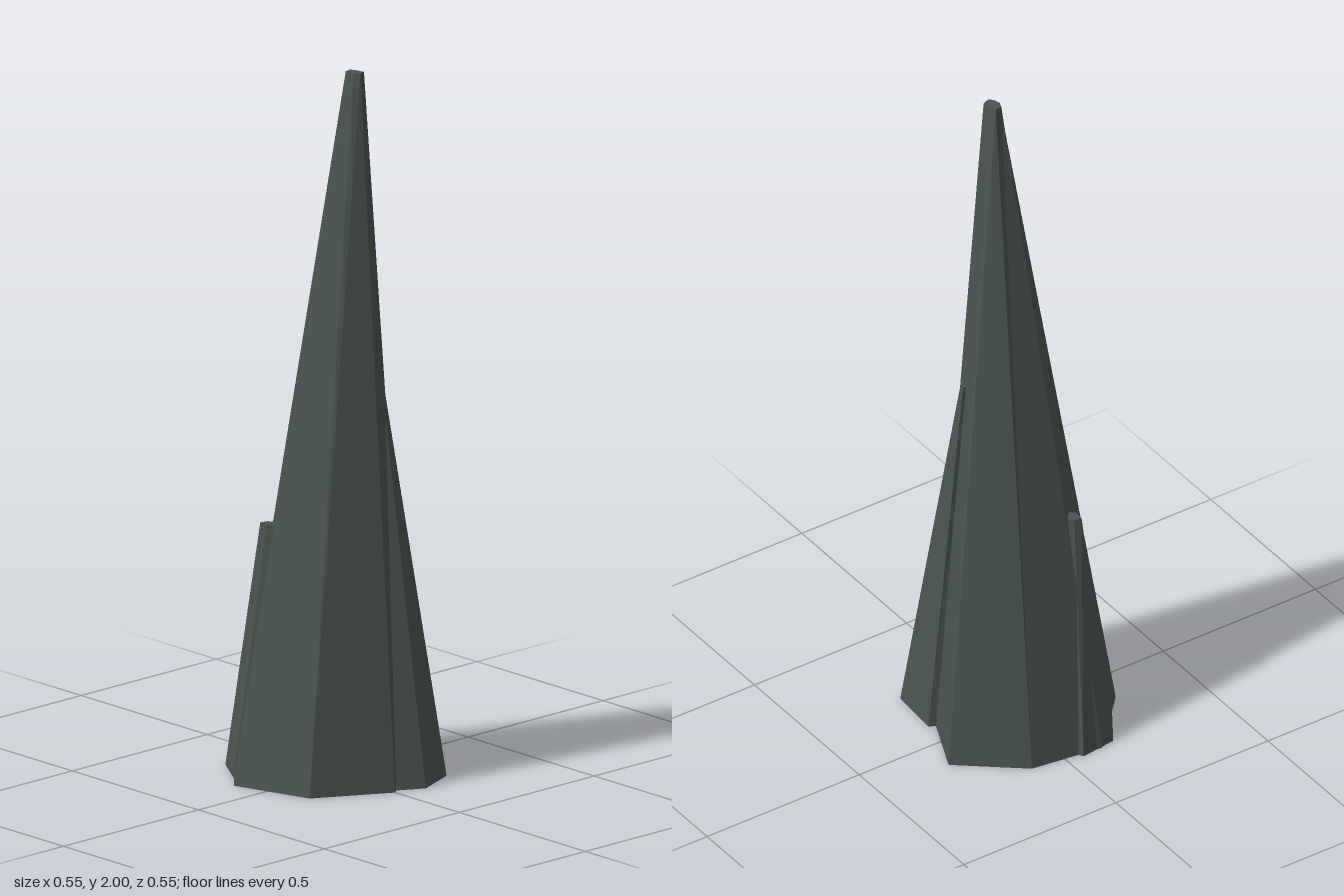
import * as THREE from 'three';

// Faceted shard: joins a base outline to a top outline, both [x, z] pairs, and caps the ends
function shard(name, height, base, top, material) {
  const pos = [];
  const n = base.length;
  const b = base.map(([x, z]) => [x, 0, z]);
  const t = top.map(([x, z]) => [x, height, z]);
  for (let i = 0; i < n; i++) {
    const j = (i + 1) % n;
    pos.push(...b[i], ...t[i], ...b[j], ...b[j], ...t[i], ...t[j]);
    if (i > 0 && i < n - 1) pos.push(...b[0], ...b[i], ...b[j], ...t[0], ...t[j], ...t[i]);
  }
  const geometry = new THREE.BufferGeometry();
  geometry.setAttribute('position', new THREE.Float32BufferAttribute(pos, 3));
  geometry.computeVertexNormals();
  const mesh = new THREE.Mesh(geometry, material);
  mesh.name = name;
  return mesh;
}

export function createModel() {
  const group = new THREE.Group();
  group.name = 'rockSpire';
  const rock = new THREE.MeshStandardMaterial({ color: 0x4a5450, flatShading: true });

  // Tall leaning seven-sided spire with uneven corner radii
  const radii = [0.282, 0.265, 0.282, 0.26, 0.228, 0.282, 0.234];
  const base = radii.map((r, i) => {
    const a = (i / 7) * Math.PI * 2;
    return [-0.037 + r * Math.cos(a), r * Math.sin(a)];
  });
  group.add(shard('mainSpire', 2, base,
    [[0.102, -0.005], [0.088, 0.007], [0.072, 0.011], [0.055, 0.005], [0.052, -0.015], [0.07, -0.022], [0.093, -0.027]],
    rock));

  // Medium spire leaning into the back
  group.add(shard('backSpire', 1.1,
    [[0.273, -0.088], [0.2, 0.045], [0.08, 0.02], [0.025, -0.1], [0.075, -0.22], [0.225, -0.21]],
    [[0.1, -0.088], [0.092, -0.075], [0.075, -0.075], [0.062, -0.095], [0.066, -0.113], [0.09, -0.103]],
    rock));

  // Short spire leaning into the front
  group.add(shard('frontSpire', 0.7,
    [[-0.08, 0.07], [-0.08, 0.17], [-0.155, 0.225], [-0.262, 0.155], [-0.275, 0.048], [-0.17, 0]],
    [[-0.125, 0.095], [-0.118, 0.11], [-0.132, 0.123], [-0.16, 0.121], [-0.156, 0.1], [-0.14, 0.088]],
    rock));

  return group;
}
